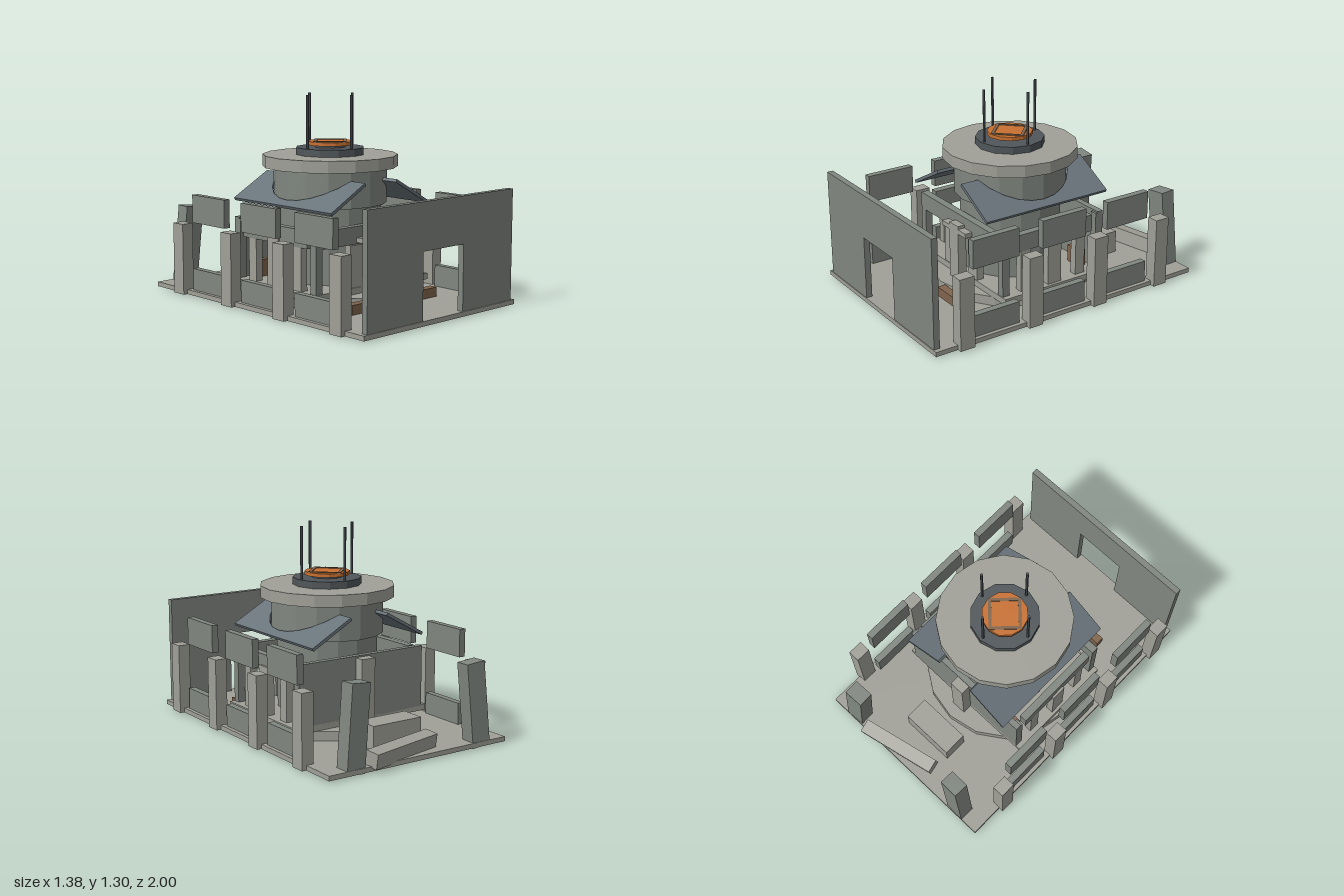
import * as THREE from 'three';

const mat = (color) => new THREE.MeshStandardMaterial({ color, flatShading: true });
const stone = mat(0xa0a098), panel = mat(0x808680), dark = mat(0x50565a);
const slate = mat(0x69737a), wood = mat(0x80654d), orange = mat(0xc87030);
const CZ = 0.015; // centre line of the tower

export function createModel() {
  const root = new THREE.Group();

  const add = (name, geo, material, x, y, z, parent = root) => {
    const m = new THREE.Mesh(geo, material);
    m.name = name;
    m.position.set(x, y, z);
    parent.add(m);
    return m;
  };
  // box given by its limits on each axis
  const box = (name, material, x0, x1, y0, y1, z0, z1, parent = root) =>
    add(name, new THREE.BoxGeometry(x1 - x0, y1 - y0, z1 - z0), material,
      (x0 + x1) / 2, (y0 + y1) / 2, (z0 + z1) / 2, parent);
  const disc = (name, material, r, y0, y1, sides) =>
    add(name, new THREE.CylinderGeometry(r, r, y1 - y0, sides), material, 0, (y0 + y1) / 2, CZ);

  // ground slab and front wall with doorway
  box('baseSlab', stone, -0.66, 0.66, 0.01, 0.04, -0.96, 0.99);
  box('frontWallRight', panel, -0.63, -0.175, 0.04, 0.74, 0.945, 0.985);
  box('frontWallLeft', panel, 0.175, 0.63, 0.04, 0.74, 0.945, 0.985);
  box('doorLintel', panel, -0.175, 0.175, 0.45, 0.74, 0.945, 0.985);

  // side fences: posts with low and high panels between them
  for (const s of [-1, 1]) {
    for (const z of [-0.68, -0.19, 0.3, 0.79])
      add('sidePost', new THREE.BoxGeometry(0.08, 0.46, 0.1), stone, s * 0.65, 0.24, z);
    for (const z of [-0.435, 0.055, 0.55]) {
      add('lowerSidePanel', new THREE.BoxGeometry(0.045, 0.14, 0.325), panel, s * 0.612, 0.11, z);
      add('upperSidePanel', new THREE.BoxGeometry(0.045, 0.18, 0.325), panel, s * 0.612, 0.57, z);
    }
    // benches behind the doorway
    add('bench', new THREE.BoxGeometry(0.32, 0.06, 0.055), wood, s * 0.21, 0.07, 0.575);
    // leaning rear pillars
    const pillar = add('leaningPillar', new THREE.BoxGeometry(0.13, 0.53, 0.1), panel, s * 0.45, 0.272, -0.9);
    pillar.rotation.set(0.025, s * 0.04, s * 0.09);
  }

  // rubble at the back
  const beam = add('fallenBeam', new THREE.BoxGeometry(0.54, 0.095, 0.09), stone, 0.1, 0.082, -0.9);
  beam.rotation.set(-0.15, 0.21, 0.02);
  box('rearBlock', stone, -0.18, 0.18, 0.04, 0.19, -0.73, -0.57);

  // dais and plinth
  disc('dais', stone, 0.53, 0.04, 0.1, 16);
  box('plinth', stone, -0.505, 0.505, 0.1, 0.14, CZ - 0.385, CZ + 0.385);

  // chamber around the drum
  const chamber = new THREE.Group();
  chamber.name = 'chamber';
  chamber.position.z = CZ;
  root.add(chamber);
  for (const sx of [-1, 1]) {
    for (const sz of [-1, 1])
      add('cornerPost', new THREE.BoxGeometry(0.05, 0.38, 0.05), panel, sx * 0.445, 0.33, sz * 0.355, chamber);
    add('sideLintel', new THREE.BoxGeometry(0.05, 0.11, 0.6), panel, sx * 0.445, 0.465, 0, chamber);
    add('sideButtress', new THREE.BoxGeometry(0.05, 0.31, 0.1), stone, sx * 0.46, 0.295, 0, chamber);
    for (const sz of [-1, 1])
      add('sidePier', new THREE.BoxGeometry(0.05, 0.27, 0.07), stone, sx * 0.445, 0.275, sz * 0.21, chamber);
    add('frontPier', new THREE.BoxGeometry(0.1, 0.27, 0.05), stone, sx * 0.135, 0.27, 0.355, chamber);
    add('chest', new THREE.BoxGeometry(0.12, 0.11, 0.05), wood, sx * 0.33, 0.195, -0.29, chamber);
  }
  box('frontLintel', panel, -0.42, 0.42, 0.41, 0.52, 0.33, 0.38, chamber);
  box('frontButtress', stone, -0.05, 0.05, 0.1, 0.47, 0.37, 0.43, chamber);
  box('frontCap', stone, -0.135, 0.135, 0.42, 0.45, 0.36, 0.43, chamber);
  box('backWall', panel, -0.47, 0.47, 0.1, 0.53, -0.385, -0.345, chamber);
  box('backButtress', stone, -0.05, 0.05, 0.04, 0.52, -0.45, -0.385, chamber);

  // drum and top plates
  disc('lowerDrum', panel, 0.325, 0.14, 0.62, 16);
  disc('upperDrum', panel, 0.36, 0.62, 0.85, 16);
  disc('topPlate', stone, 0.43, 0.85, 0.925, 16);
  disc('darkRing', dark, 0.22, 0.925, 0.97, 12);
  disc('hatchNeck', dark, 0.1, 0.97, 0.985, 12);
  disc('hatch', orange, 0.145, 0.985, 1.008, 12);

  // rods and the diamond frame on the hatch
  for (let i = 0; i < 4; i++) {
    const a = i * Math.PI / 2, b = a + Math.PI / 4;
    add('rod', new THREE.CylinderGeometry(0.009, 0.009, 0.35, 6), dark,
      Math.cos(a) * 0.193, 1.13, CZ + Math.sin(a) * 0.193);
    const bar = add('hatchBar', new THREE.BoxGeometry(0.02, 0.024, 0.2), wood,
      Math.cos(b) * 0.093, 1.001, CZ + Math.sin(b) * 0.093);
    bar.rotation.y = -b;
  }

  // sloping flaps, notched to fit round the drum
  const slope = Math.atan2(0.155, 0.28), along = (x) => (x - 0.13) / Math.cos(slope);
  const shape = new THREE.Shape();
  shape.moveTo(0, -0.455);
  shape.lineTo(along(0.41), -0.455);
  shape.lineTo(along(0.41), 0.455);
  shape.lineTo(0, 0.455);
  const r = 0.36, t0 = Math.acos(0.13 / r);
  for (let i = 0; i <= 10; i++) {
    const t = t0 * (1 - i / 5);
    shape.lineTo(along(r * Math.cos(t)), r * Math.sin(t));
  }
  const flapGeo = new THREE.ExtrudeGeometry(shape, { depth: 0.02, bevelEnabled: false });
  flapGeo.rotateX(-Math.PI / 2).rotateZ(-slope).translate(0.13, 0.775, 0);
  for (const turn of [0, Math.PI])
    add('roofFlap', flapGeo, slate, 0, 0, CZ).rotation.y = turn;

  return root;
}
